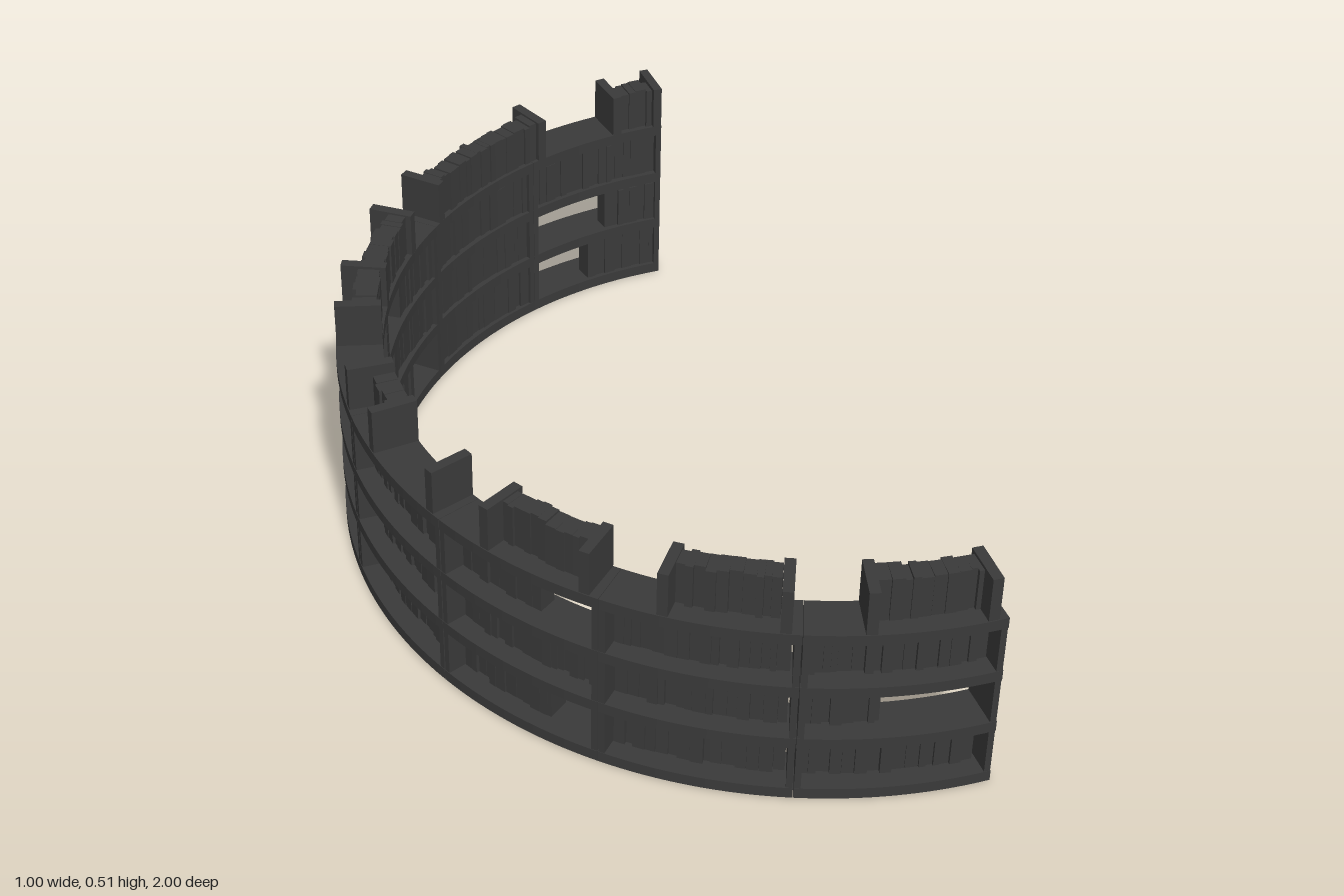
import * as THREE from 'three';
import { mergeGeometries } from 'three/addons/utils/BufferGeometryUtils.js';

const OUTER = 1, INNER = 0.9, BOARD = 0.025, PITCH = 0.13, BAYS = 8;
const STEP = 180 / BAYS;
const rad = THREE.MathUtils.degToRad;

// Small seeded random numbers for the books
let seed = 7;
const rand = () => (seed = (seed * 16807) % 2147483647) / 2147483647;

const material = new THREE.MeshStandardMaterial({ color: 0x3a3a3a });

// Box standing at y0, at an angle (degrees, 0 = middle of the arc) and between two radii
function arcBox(r0, r1, y0, height, width, angle) {
  const g = new THREE.BoxGeometry(r1 - r0, height, width);
  g.translate((r0 + r1) / 2, y0 + height / 2, 0);
  g.rotateY(rad(angle) + Math.PI);
  g.translate(0.5, 0, 0);
  return g;
}

// Curved board covering an angular range
function arcBoard(a0, a1, y0) {
  const s = new THREE.Shape();
  s.absarc(0, 0, OUTER, rad(a0) + Math.PI, rad(a1) + Math.PI, false);
  s.absarc(0, 0, INNER, rad(a1) + Math.PI, rad(a0) + Math.PI, true);
  const g = new THREE.ExtrudeGeometry(s, { depth: BOARD, bevelEnabled: false, curveSegments: 8 });
  g.rotateX(-Math.PI / 2);
  g.translate(0.5, y0, 0);
  return g;
}

// Row of upright books filling an angular range
function bookRow(a0, a1, y0, maxHeight) {
  const books = [];
  let a = a0;
  while (a < a1 - 0.4) {
    const w = Math.min(0.7 + rand() * 1.0, a1 - a);
    const height = maxHeight * (0.93 + rand() * 0.07);
    const front = 0.906 + rand() * 0.008;
    const back = 0.95 + rand() * 0.012;
    books.push(arcBox(front, back, y0, height, rad(w) * 0.93, a + w / 2));
    a += w;
  }
  return books;
}

export function createModel() {
  const group = new THREE.Group();
  const add = (name, geometries) => {
    const mesh = new THREE.Mesh(mergeGeometries(geometries.map(g => g.index ? g.toNonIndexed() : g)), material);
    mesh.name = name;
    group.add(mesh);
  };

  // Curved shelf boards, one per bay and level
  for (let level = 0; level < 4; level++) {
    const boards = [];
    for (let i = 0; i < BAYS; i++) {
      const a = -90 + i * STEP;
      boards.push(arcBoard(a + 0.03, a + STEP - 0.03, level * PITCH));
    }
    add('shelfBoard' + level, boards);
  }

  // Upright panels at both sides of every bay
  const panels = [];
  for (let tier = 0; tier < 3; tier++) {
    for (let i = 0; i < BAYS; i++) {
      const a = -90 + i * STEP;
      for (const side of [a + 0.45, a + STEP - 0.45])
        panels.push(arcBox(INNER, OUTER - 0.001, tier * PITCH + BOARD, PITCH - BOARD, 0.013, side));
    }
  }
  add('uprightPanels', panels);

  // Empty stretches without books, per tier
  const gaps = [
    [[-78, -67.5], [-45, -36.5], [-10, 0], [37.5, 45]],
    [[-81, -67.5], [77, 90]],
    [[-33, -22.5], [36, 45]],
  ];
  gaps.forEach((list, tier) => {
    const rows = [];
    for (let i = 0; i < BAYS; i++) {
      let a0 = -90 + i * STEP + 0.9, a1 = -90 + (i + 1) * STEP - 0.9;
      for (const [g0, g1] of list) {
        if (g0 < a0 && g1 > a0 && g1 < a1) a0 = g1;
        if (g0 > a0 && g0 < a1 && g1 > a1) a1 = g0;
        if (g0 < a0 && g1 > a0) a0 = Math.max(a0, Math.min(g1, a1));
      }
      rows.push(...bookRow(a0, a1, tier * PITCH + BOARD, PITCH - BOARD));
    }
    add('booksTier' + tier, rows);
  });

  // Posts standing on the top board
  const topY = 3 * PITCH + BOARD, topH = 0.1;
  const topHeight = 0.515 - topY;
  const posts = [arcBox(INNER, OUTER, topY, topHeight, 0.02, -89.3)];
  for (let i = 1; i <= BAYS; i++)
    posts.push(arcBox(INNER, OUTER - 0.002, topY, topHeight, 0.022, -90 + i * STEP - 1.8));
  for (let i = 0; i < BAYS; i++)
    if (i !== 1) posts.push(arcBox(INNER, OUTER - 0.002, topY, topHeight, 0.022, -90 + i * STEP + 7.3));
  add('topPosts', posts);

  // Books between the posts on the top board
  const topRows = [[-88.5, -83.2], [-68.5, -47.4], [-37, -24.8], [-23.6, -15.8], [0.8, 6.6],
    [30.2, 42.6], [52.8, 65.2], [75.4, 87.6]];
  add('topBooks', topRows.flatMap(([a0, a1]) => bookRow(a0, a1, topY, topHeight)));

  return group;
}
